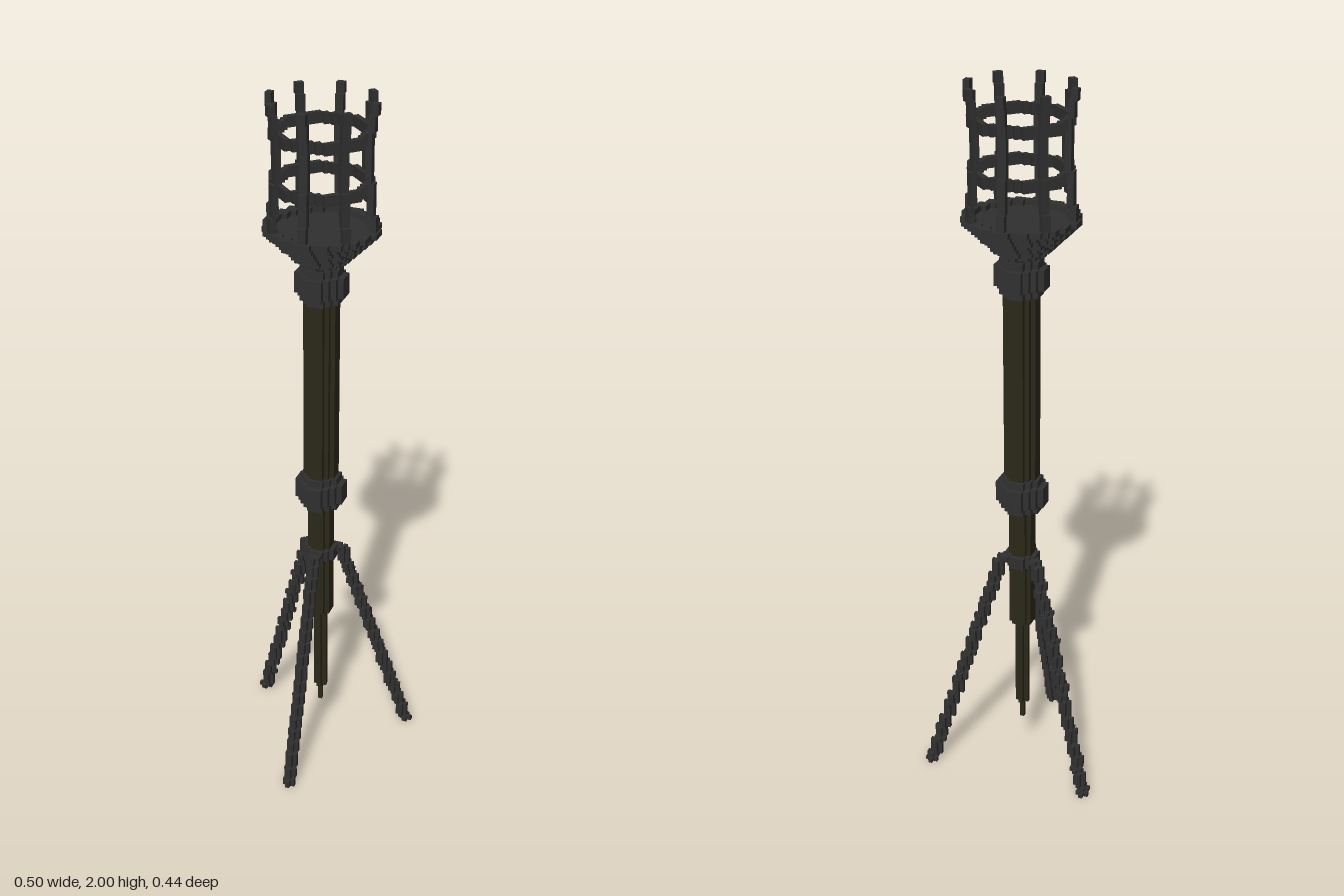
import * as THREE from 'three';
import { mergeGeometries } from 'three/addons/utils/BufferGeometryUtils.js';

const IRON = 0x303030, WOOD = 0x2b2719;
const ZC = -0.067; // the pole stands behind the middle of the footprint

export function createModel() {
  const group = new THREE.Group();
  const materials = {};
  for (const color of [IRON, WOOD]) {
    materials[color] = new THREE.MeshStandardMaterial({ color, flatShading: true });
  }

  const box = (w, h, d, x, y, z) => new THREE.BoxGeometry(w, h, d).translate(x, y, z);

  // merges the blocks of one part into a mesh
  function part(name, color, blocks) {
    const mesh = new THREE.Mesh(mergeGeometries(blocks), materials[color]);
    mesh.name = name;
    mesh.position.z = ZC;
    group.add(mesh);
  }

  // round layer of square blocks; radii are counted in blocks of size u
  function disc(u, radius, y0, y1, inner = -1) {
    const out = [], n = Math.ceil(radius);
    for (let i = -n; i <= n; i++) {
      for (let j = -n; j <= n; j++) {
        const r = Math.hypot(i, j);
        if (r <= radius && r > inner) out.push(box(u, y1 - y0, u, i * u, (y0 + y1) / 2, j * u));
      }
    }
    return out;
  }

  // wooden pole, thinner towards the bottom
  const w = 0.0129;
  part('upperPole', WOOD, disc(w, 3.2, 0.9, 1.56));
  part('lowerPole', WOOD, disc(w, 2.3, 0.46, 0.9));
  part('poleTip', WOOD, [...disc(w, 1.1, 0.18, 0.46), ...disc(w, 0.1, 0.125, 0.18)]);

  // iron collars
  const c = 0.0153;
  for (const [name, y] of [['upperCollar', 1.505], ['lowerCollar', 0.876]]) {
    part(name, IRON, [
      ...disc(c, 3.2, y - 0.05, y - 0.029),
      ...disc(c, 4.2, y - 0.029, y + 0.029),
      ...disc(c, 3.2, y + 0.029, y + 0.05),
    ]);
  }

  // stepped bowl with a rim round its floor
  const b = 0.01476, bowlBase = 1.549;
  const bowl = [];
  for (let k = 0; k < 8; k++) {
    const y = bowlBase + k * b;
    bowl.push(...disc(b, 3.1 + k, y, y + b, k === 7 ? 8.5 : -1));
  }
  part('bowl', IRON, bowl);

  // cage hoops, set diagonally
  for (const [name, y] of [['lowerHoop', 1.778], ['upperHoop', 1.91]]) {
    part(name, IRON, disc(b, 8.6, y - 0.015, y + 0.015, 7.7).map((g) => g.rotateY(Math.PI / 4)));
  }

  // eight upright bars, pinched at the hoops and flared at the top
  const barProfile = [[1.65, 0.138], [1.75, 0.136], [1.8, 0.129], [1.92, 0.127], [1.96, 0.134], [2.0, 0.144]];
  const along = (points, y) => {
    let k = 0;
    while (k < points.length - 2 && y > points[k + 1][0]) k++;
    const [[y0, r0], [y1, r1]] = [points[k], points[k + 1]];
    return r0 + (r1 - r0) * (y - y0) / (y1 - y0);
  };
  for (let a = 0; a < 8; a++) {
    const bar = [];
    const rows = 24, h = 0.35 / rows;
    for (let k = 0; k < rows; k++) {
      const y = 1.65 + (k + 0.5) * h;
      const r = Math.round(along(barProfile, y) / 0.0074) * 0.0074;
      bar.push(box(0.022, h, 0.017, 0, y, r).rotateY(a * Math.PI / 4));
    }
    part('cageBar', IRON, bar);
  }

  // bracket joining the legs to the pole
  part('legBracket', IRON, disc(w, 3.2, 0.65, 0.685));

  // three splayed legs: a cross-shaped brush stepped along a straight line
  const u = 0.0117, legRows = 58;
  const snap = (v) => Math.round(v / u) * u;
  for (let a = 0; a < 3; a++) {
    const angle = a * Math.PI * 2 / 3;
    const leg = [];
    const brush = (r, y) => {
      const x = snap(Math.sin(angle) * r), z = snap(Math.cos(angle) * r);
      leg.push(box(3 * u, u, u, x, y, z), box(u, u, 3 * u, x, y, z));
    };
    for (let k = 0; k < legRows; k++) brush(0.27 - 0.212 * k / (legRows - 1), (k + 0.5) * u);
    for (let r = 0.03; r < 0.06; r += u) brush(r, (legRows - 0.5) * u);
    part(a === 0 ? 'frontLeg' : a === 1 ? 'leftLeg' : 'rightLeg', IRON, leg);
  }

  return group;
}
